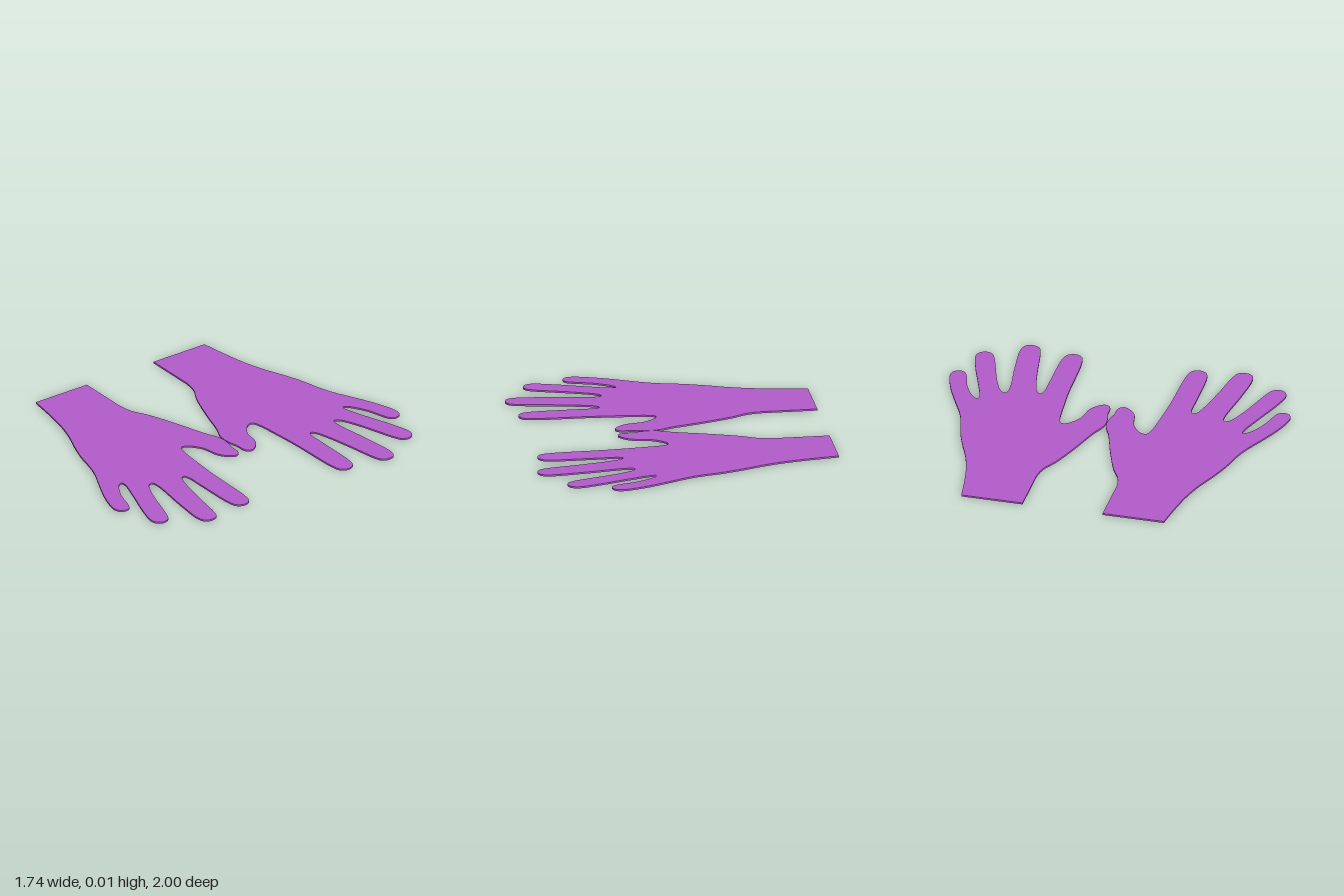
import * as THREE from 'three';
import { toCreasedNormals } from 'three/addons/utils/BufferGeometryUtils.js';

const THICKNESS = 0.01;

// Outline of one hand as [x, z], from the inner wrist round the fingers to the outer wrist
const innerWrist = [[-0.87, 0.235], [-0.62, 0.235], [-0.54, 0.234], [-0.46, 0.217], [-0.37, 0.17], [-0.18, 0.1], [0, 0.043]];
const thumb = [
  [0.07, 0.012], [0.12, 0.002], [0.19, 0.008], [0.23, 0.018], [0.29, 0.021], [0.314, 0.036], [0.32, 0.062],
  [0.295, 0.1], [0.25, 0.132], [0.185, 0.146], [0.145, 0.155], [0.1, 0.182], [0.062, 0.222],
];
const indexFinger = [
  [0.06, 0.25], [0.095, 0.266], [0.27, 0.285], [0.425, 0.296], [0.775, 0.31], [0.814, 0.328],
  [0.829, 0.366], [0.814, 0.404], [0.775, 0.423], [0.5, 0.431], [0.375, 0.434],
];
const middleFinger = [
  [0.35, 0.447], [0.365, 0.469], [0.45, 0.497], [0.61, 0.53], [0.81, 0.566], [0.852, 0.585],
  [0.867, 0.625], [0.853, 0.664], [0.81, 0.681], [0.61, 0.665], [0.345, 0.632],
];
const ringFinger = [
  [0.31, 0.643], [0.322, 0.67], [0.425, 0.72], [0.685, 0.806], [0.718, 0.827],
  [0.73, 0.86], [0.715, 0.896], [0.675, 0.912], [0.56, 0.885], [0.375, 0.82], [0.24, 0.777],
];
const littleFinger = [
  [0.208, 0.779], [0.217, 0.803], [0.32, 0.867], [0.455, 0.91], [0.48, 0.928],
  [0.487, 0.957], [0.47, 0.987], [0.432, 0.999], [0.295, 0.962], [0.16, 0.902],
];
const outerWrist = [[0.03, 0.84], [-0.05, 0.812], [-0.18, 0.78], [-0.315, 0.733], [-0.42, 0.69], [-0.55, 0.65], [-0.7, 0.62], [-0.87, 0.595]];

// Smooth curve round the fingers, closed by a straight cut at the wrist
function handShape(side) {
  const points = [innerWrist, thumb, indexFinger, middleFinger, ringFinger, littleFinger, outerWrist]
    .flat().map(([x, z]) => new THREE.Vector3(x, z * side, 0));
  const curve = new THREE.CatmullRomCurve3(points, false, 'centripetal');
  return new THREE.Shape(curve.getPoints((points.length - 1) * 5).map((p) => new THREE.Vector2(p.x, p.y)));
}

// Thin flat sheet lying on the ground
function makeHand(name, side, material) {
  const geometry = new THREE.ExtrudeGeometry(handShape(side), { depth: THICKNESS, bevelEnabled: false });
  geometry.rotateX(Math.PI / 2).translate(0, THICKNESS, 0);
  const hand = new THREE.Mesh(toCreasedNormals(geometry, Math.PI / 5), material);
  hand.name = name;
  return hand;
}

export function createModel() {
  const group = new THREE.Group();
  group.name = 'pairOfHands';
  const material = new THREE.MeshStandardMaterial({ color: 0xb35ccc });
  group.add(makeHand('frontHand', 1, material), makeHand('backHand', -1, material));
  return group;
}
